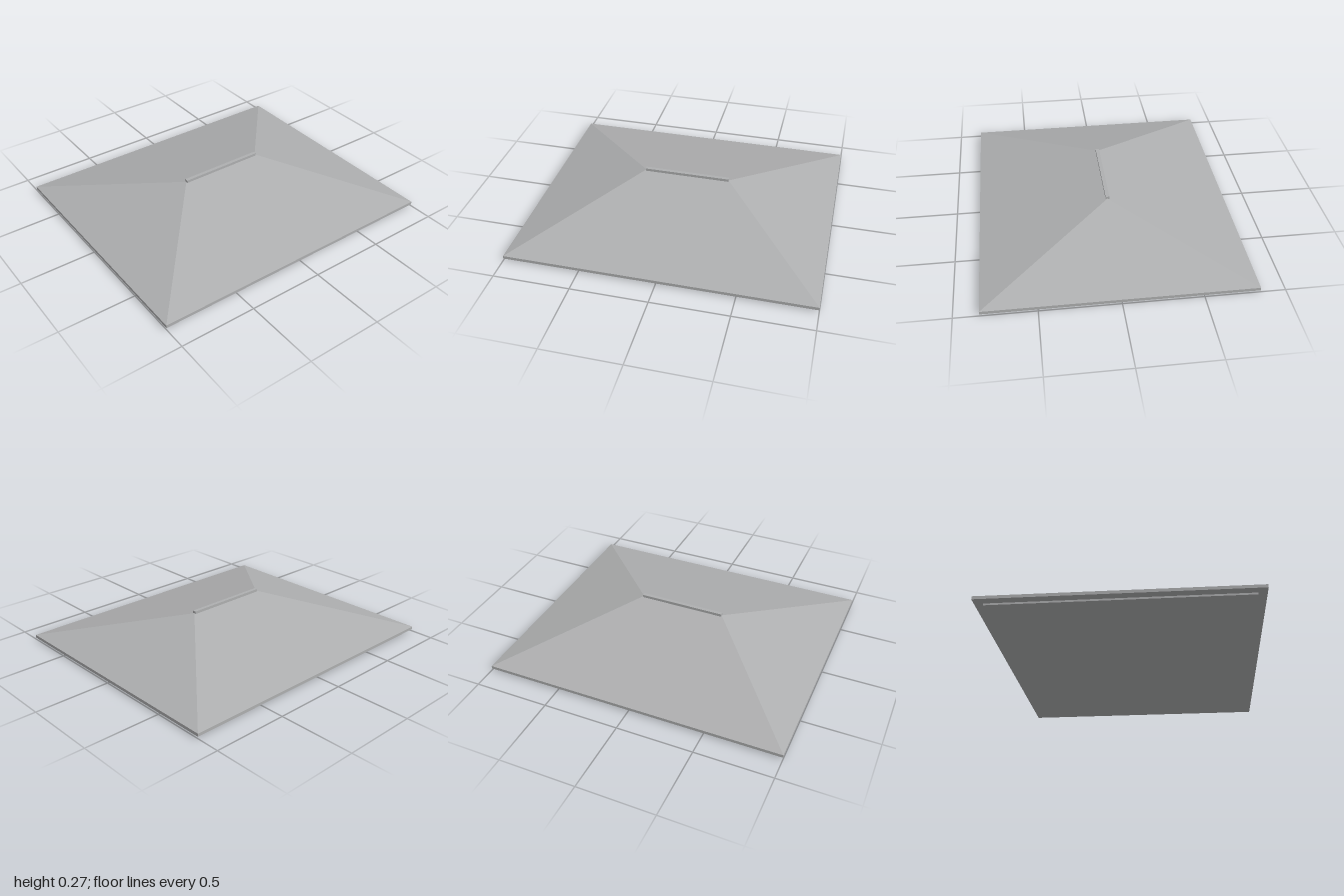
import * as THREE from 'three';

const HALF_X = 0.844, HALF_Z = 1;          // eave footprint
const EAVE_LOW = 0.012, EAVE_TOP = 0.032;  // fascia band
const RIDGE_Y = 0.253, RIDGE_Z = 0.287;    // ridge line

// Four sloping faces rising from the eave rectangle to a ridge along z
function hipGeometry() {
  const a = [-HALF_X, EAVE_TOP, HALF_Z], b = [HALF_X, EAVE_TOP, HALF_Z];
  const c = [HALF_X, EAVE_TOP, -HALF_Z], d = [-HALF_X, EAVE_TOP, -HALF_Z];
  const front = [0, RIDGE_Y, RIDGE_Z], back = [0, RIDGE_Y, -RIDGE_Z];
  const triangles = [
    a, b, front,                  // front hip
    c, d, back,                   // back hip
    b, c, back, b, back, front,   // left slope
    d, a, front, d, front, back,  // right slope
  ];
  const geometry = new THREE.BufferGeometry();
  geometry.setAttribute('position', new THREE.Float32BufferAttribute(triangles.flat(), 3));
  geometry.computeVertexNormals();
  return geometry;
}

export function createModel() {
  const model = new THREE.Group();
  model.name = 'hipRoof';
  const grey = new THREE.MeshStandardMaterial({ color: 0xaeafb0 });
  grey.name = 'roofGrey';

  const add = (name, geometry) => {
    const mesh = new THREE.Mesh(geometry, grey);
    mesh.name = name;
    model.add(mesh);
  };
  // Box centred on x and z, spanning y0 to y1
  const slab = (name, halfX, halfZ, y0, y1) =>
    add(name, new THREE.BoxGeometry(halfX * 2, y1 - y0, halfZ * 2).translate(0, (y0 + y1) / 2, 0));

  add('roofSlopes', hipGeometry());
  // Top of the fascia stays just under the slopes
  slab('fascia', HALF_X, HALF_Z, EAVE_LOW, EAVE_TOP);
  slab('soffit', 0.79, 0.945, 0, EAVE_LOW);
  slab('ridgeCap', 0.012, 0.288, 0.248, 0.268);

  return model;
}
